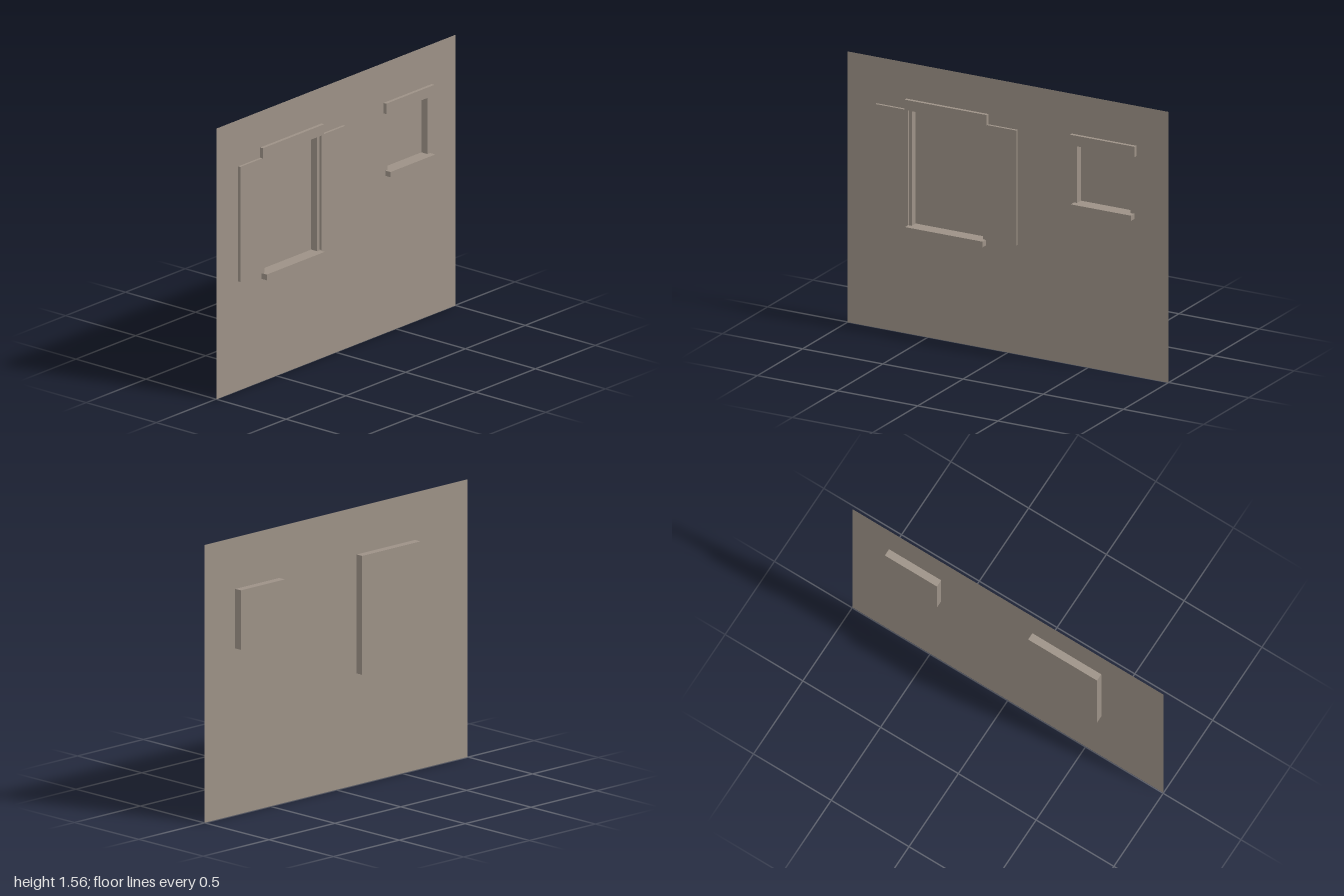
import * as THREE from 'three';

const WALL_Z = 0.003;   // plane of the wall
const BACK_Z = -0.04;   // back of the window recesses

export function createModel() {
  const model = new THREE.Group();
  const plaster = new THREE.MeshStandardMaterial({ color: 0x9c9186, side: THREE.DoubleSide });
  plaster.name = 'plaster';

  const add = (name, geometry, x = 0, y = 0, z = 0) => {
    const mesh = new THREE.Mesh(geometry, plaster);
    mesh.name = name;
    mesh.position.set(x, y, z);
    model.add(mesh);
  };

  // Board standing out from the wall
  const board = (name, [x0, x1, y0, y1], depth) =>
    add(name, new THREE.BoxGeometry(x1 - x0, y1 - y0, depth),
      (x0 + x1) / 2, (y0 + y1) / 2, WALL_Z + depth / 2);

  // Sunken window: a box without its front face
  const recess = (name, [x0, x1, y0, y1]) => {
    const geometry = new THREE.BoxGeometry(x1 - x0, y1 - y0, WALL_Z - BACK_Z);
    const index = Array.from(geometry.index.array);
    index.splice(24, 6);
    geometry.setIndex(index);
    geometry.clearGroups();
    add(name, geometry, (x0 + x1) / 2, (y0 + y1) / 2, (WALL_Z + BACK_Z) / 2);
  };

  const rectangle = (path, [x0, x1, y0, y1]) =>
    path.moveTo(x0, y0).lineTo(x1, y0).lineTo(x1, y1).lineTo(x0, y1).closePath();

  const windows = [
    {
      name: 'large',
      opening: [-0.6, -0.157, 0.625, 1.293],
      lintel: [-0.634, -0.122, 1.293, 1.352],
      sill: [-0.622, -0.138, 0.592, 0.625],
      shutters: [[-0.818, -0.616, 0.63, 1.293], [-0.138, 0.06, 0.63, 1.293]],
    },
    {
      name: 'small',
      opening: [0.43, 0.765, 0.936, 1.27],
      lintel: [0.397, 0.8, 1.27, 1.33],
      sill: [0.412, 0.788, 0.906, 0.936],
      shutters: [],
    },
  ];

  // Thin wall with an opening for each window
  const wall = rectangle(new THREE.Shape(), [-1, 1, 0, 1.56]);
  for (const w of windows) wall.holes.push(rectangle(new THREE.Path(), w.opening));
  add('wall', new THREE.ShapeGeometry(wall), 0, 0, WALL_Z);

  // Recess and trim of each window
  for (const w of windows) {
    recess(`${w.name}WindowRecess`, w.opening);
    board(`${w.name}WindowLintel`, w.lintel, 0.02);
    board(`${w.name}WindowSill`, w.sill, 0.037);
    w.shutters.forEach((s, i) => board(i ? 'leftShutter' : 'rightShutter', s, 0.015));
  }
  return model;
}
